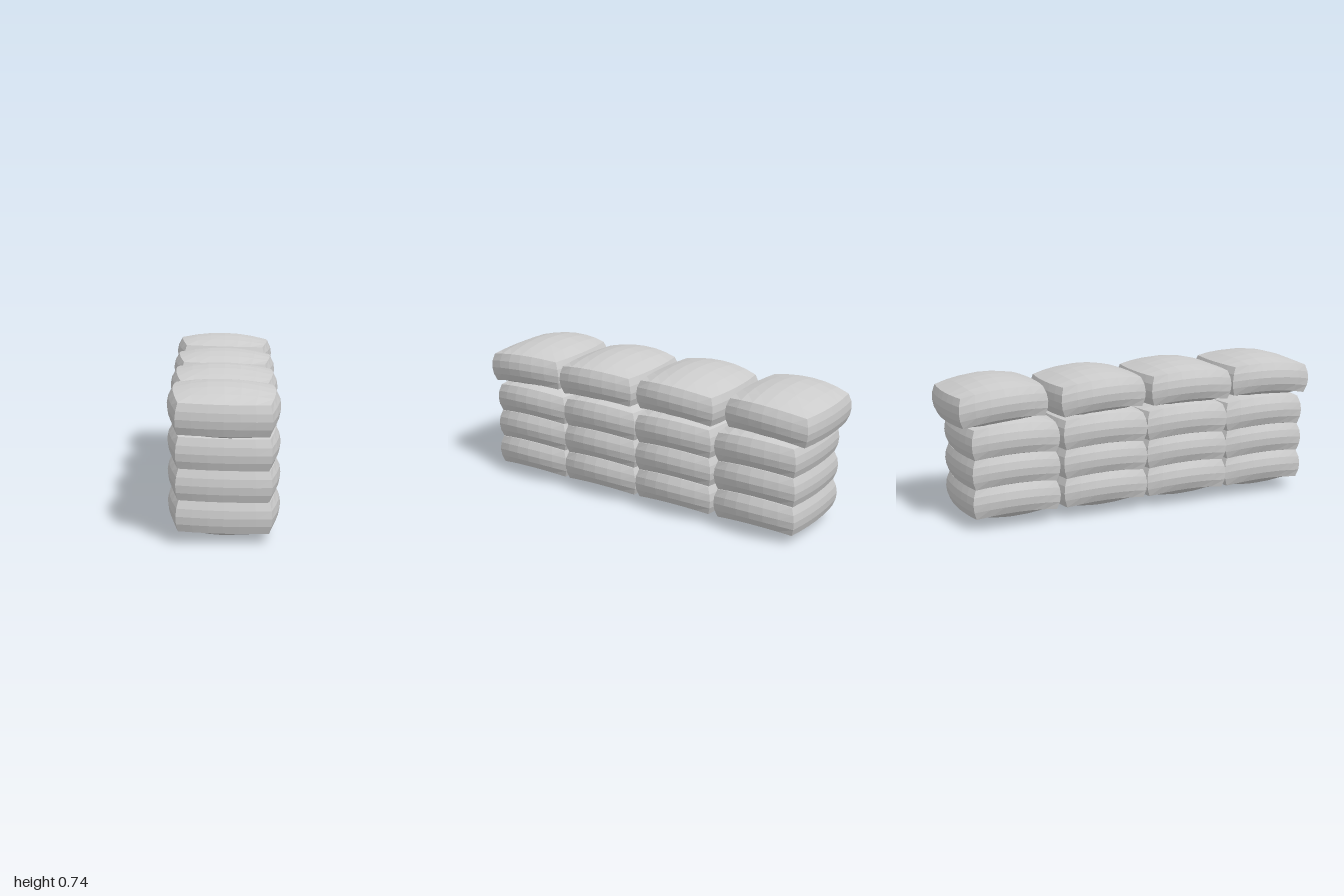
import * as THREE from 'three';

// One filled sack: a subdivided box, domed above and below, with bulging sides
function sackGeometry() {
  const geo = new THREE.BoxGeometry(2, 2, 2, 6, 4, 6);
  const p = geo.attributes.position;
  for (let i = 0; i < p.count; i++) {
    const u = p.getX(i), v = p.getY(i), w = p.getZ(i);
    const cu = 1 - u * u, cv = 1 - v * v, cw = 1 - w * w;
    p.setXYZ(
      i,
      u * (0.212 + 0.03 * cw + 0.012 * cv + 0.014 * cv * cw),
      v * (0.075 + 0.055 * cu * cw) + 0.022 * u * u * cw, // dome plus raised flanks
      w * (0.212 + 0.018 * cu + 0.018 * cv)
    );
  }
  geo.computeVertexNormals();
  return geo;
}

export function createModel() {
  const model = new THREE.Group();
  model.name = 'sandbagWall';
  const geo = sackGeometry();
  const mat = new THREE.MeshStandardMaterial({ color: 0xcccccc, flatShading: true });

  const addSack = (name, y, z, tilt) => {
    const sack = new THREE.Mesh(geo, mat);
    sack.name = name;
    sack.position.set(0, y, z);
    sack.rotation.set(tilt, 0, -0.03);
    model.add(sack);
  };

  // Three even courses
  const columns = [0.71, 0.255, -0.205, -0.685];
  [0.13, 0.28, 0.43].forEach((y, row) =>
    columns.forEach((z, col) => addSack(`sandbagRow${row + 1}Column${col + 1}`, y, z, 0)));

  // Loosely laid top course: z position, tilt
  [[0.748, 0.05], [0.28, 0.01], [-0.215, -0.04], [-0.745, -0.06]].forEach(([z, tilt], col) =>
    addSack(`topSandbag${col + 1}`, 0.608, z, tilt));

  return model;
}
